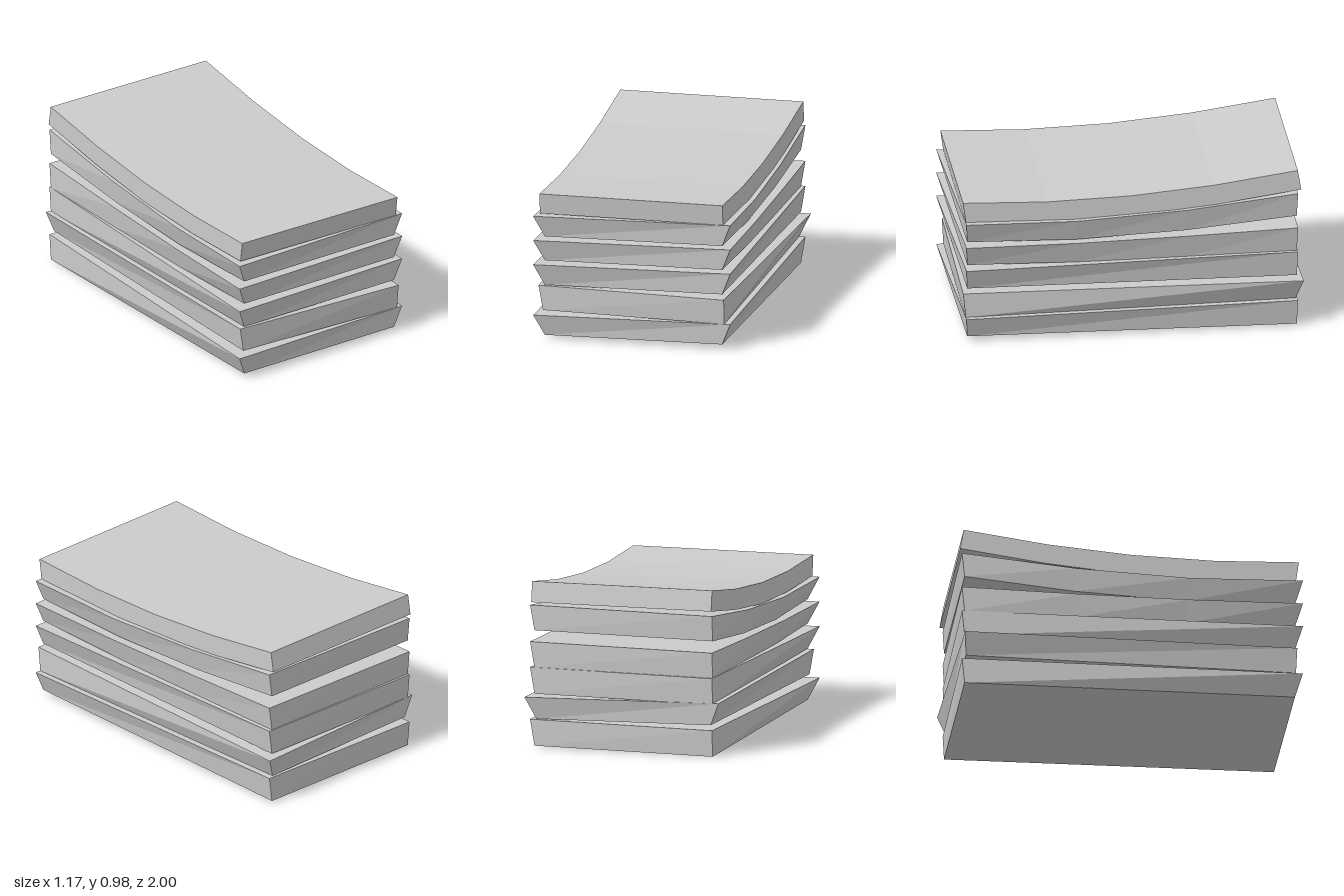
import * as THREE from 'three';

const material = new THREE.MeshStandardMaterial({ color: 0xcccccc, flatShading: true });
const lerp = THREE.MathUtils.lerp;

// Plan outlines as [x, z]: front left, front right, back left, back right
const skewed = {
  top: [[-0.58, 1.0], [0.585, 0.965], [-0.55, -0.98], [0.555, -0.97]],
  bottom: [[-0.52, 0.96], [0.535, 0.955], [-0.55, -0.965], [0.53, -0.965]],
};
const straight = {
  top: [[-0.548, 0.98], [0.542, 0.98], [-0.548, -0.97], [0.542, -0.97]],
  bottom: [[-0.548, 0.963], [0.542, 0.963], [-0.548, -0.99], [0.542, -0.99]],
};

// Slab whose top and bottom heights are listed from front to back;
// tilt is the rise from its -x side to its +x side
function slab(name, plan, tops, bottoms, tilt) {
  const n = tops.length - 1;
  const geometry = new THREE.BoxGeometry(1, 1, 1, 1, 1, n);
  const p = geometry.attributes.position;
  for (let i = 0; i < p.count; i++) {
    const u = p.getX(i) + 0.5;
    const t = 0.5 - p.getZ(i);
    const isTop = p.getY(i) > 0;
    const [fl, fr, bl, br] = isTop ? plan.top : plan.bottom;
    const at = (k) => lerp(lerp(fl[k], fr[k], u), lerp(bl[k], br[k], u), t);
    const y = (isTop ? tops : bottoms)[Math.round(t * n)] + tilt * (u - 0.5);
    p.setXYZ(i, at(0), y, at(1));
  }
  geometry.computeVertexNormals();
  const mesh = new THREE.Mesh(geometry, material);
  mesh.name = name;
  return mesh;
}

export function createModel() {
  const stack = new THREE.Group();
  stack.name = 'slabStack';

  // Flat lower slabs, the second turned end for end
  const second = slab('secondSlab', skewed, [0.305, 0.31], [0.175, 0.162], 0.015);
  second.rotation.y = Math.PI;
  stack.add(
    slab('bottomSlab', skewed, [0.15, 0.16], [0.025, 0.005], 0.01),
    second,
    slab('thirdSlab', skewed, [0.452, 0.465], [0.325, 0.31], 0.01),
  );

  // Upper slabs, curling up more and more towards the back
  stack.add(
    slab('fourthSlab', skewed, [0.597, 0.592, 0.6, 0.615], [0.472, 0.458, 0.458, 0.464], 0.01),
    slab('fifthSlab', skewed, [0.742, 0.73, 0.763, 0.83], [0.615, 0.6, 0.625, 0.682], 0.01),
    slab('topSlab', straight, [0.868, 0.852, 0.865, 0.907, 0.975], [0.747, 0.732, 0.742, 0.787, 0.855], 0),
  );
  return stack;
}
